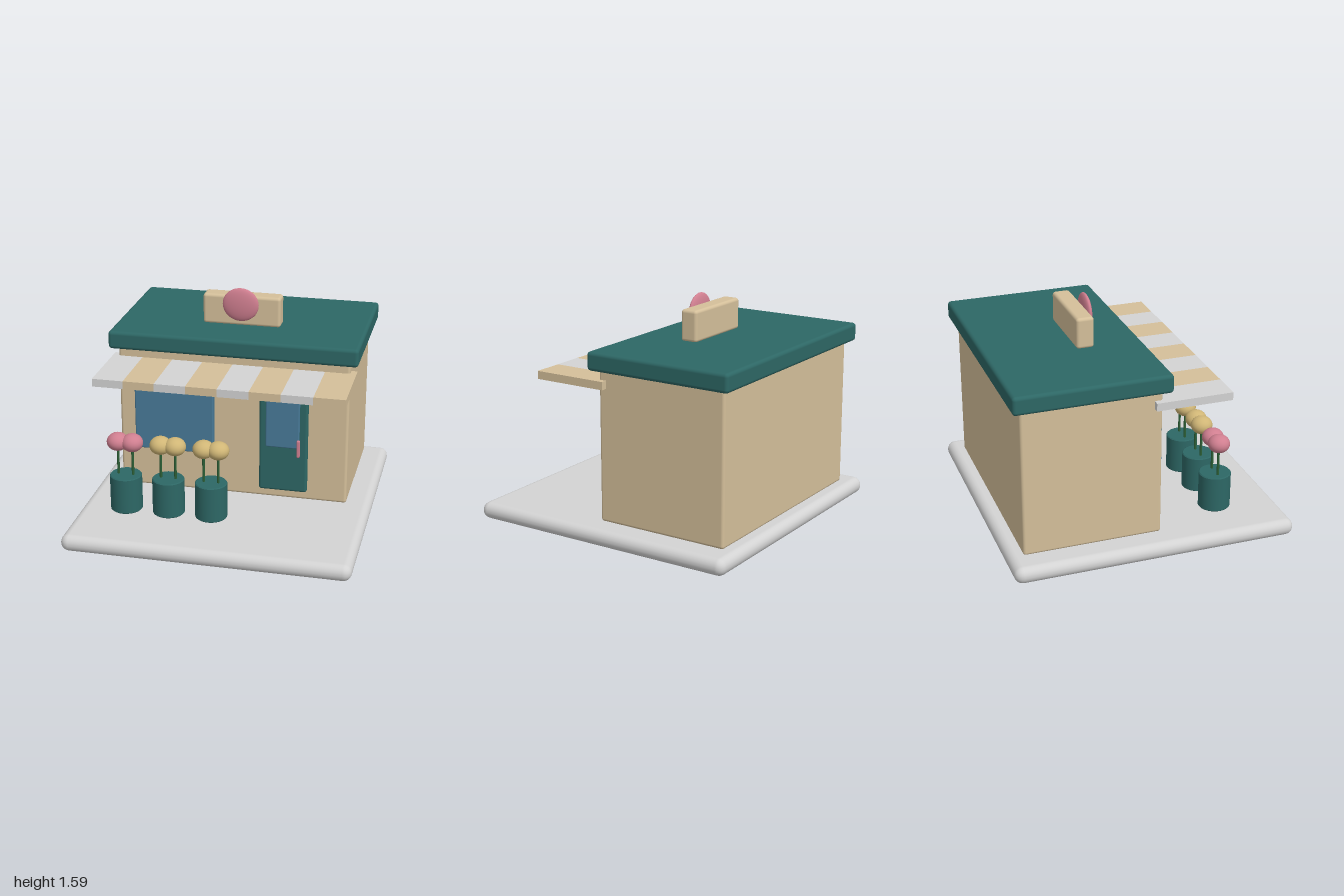
import * as THREE from 'three';
import { RoundedBoxGeometry } from 'three/addons/geometries/RoundedBoxGeometry.js';

const paint = (name, color) => {
  const m = new THREE.MeshStandardMaterial({ color });
  m.name = name;
  return m;
};

export function createModel() {
  const tan = paint('warm tan', 0xd4bf9a);
  const teal = paint('deep teal', 0x2d6765);
  const white = paint('pale grey', 0xd3d3d3);
  const blue = paint('glass blue', 0x487a98);
  const pink = paint('rose pink', 0xd07f90);
  const yellow = paint('straw yellow', 0xd0b676);
  const green = paint('stem green', 0x2c5f36);

  const shop = new THREE.Group();
  shop.name = 'flowerShop';

  const add = (parent, name, geometry, material, x = 0, y = 0, z = 0) => {
    const mesh = new THREE.Mesh(geometry, material);
    mesh.name = name;
    mesh.position.set(x, y, z);
    parent.add(mesh);
    return mesh;
  };

  // Box given by its extents on each axis, with rounded edges
  const block = (parent, name, material, [x0, x1], [y0, y1], [z0, z1], r) =>
    add(parent, name, new RoundedBoxGeometry(x1 - x0, y1 - y0, z1 - z0, 3, r), material,
      (x0 + x1) / 2, (y0 + y1) / 2, (z0 + z1) / 2);

  // Ground slab, walls and roof
  block(shop, 'base', white, [-1, 1], [0, 0.12], [-1, 1], 0.059);
  block(shop, 'walls', tan, [-0.827, 0.827], [0.12, 1.185], [-0.9, 0.07], 0.02);
  block(shop, 'roof', teal, [-0.887, 0.887], [1.175, 1.305], [-0.957, 0.127], 0.025);

  // Roof sign with a flattened round emblem
  block(shop, 'signBoard', tan, [-0.28, 0.28], [1.3, 1.52], [-0.34, -0.215], 0.022);
  add(shop, 'signDisc', new THREE.SphereGeometry(1, 32, 20), pink, 0, 1.465, -0.19)
    .scale.set(0.13, 0.121, 0.032);

  // Striped awning
  const awning = new THREE.Group();
  awning.name = 'awning';
  shop.add(awning);
  const stripes = 8, span = 1.74, width = span / stripes;
  for (let i = 0; i < stripes; i++) {
    add(awning, 'awningStripe', new THREE.BoxGeometry(width, 0.056, 0.537),
      i % 2 ? tan : white, -span / 2 + width * (i + 0.5), 1.083, 0.281);
  }

  // Shop window and door
  block(shop, 'shopWindow', blue, [-0.706, -0.131], [0.43, 0.922], [0.06, 0.115], 0.01);
  const door = new THREE.Group();
  door.name = 'door';
  shop.add(door);
  block(door, 'doorPanel', teal, [0.2, 0.546], [0.19, 1.04], [0.055, 0.108], 0.018);
  block(door, 'doorGlass', blue, [0.25, 0.491], [0.535, 0.97], [0.095, 0.13], 0.01);
  block(door, 'doorHandle', pink, [0.477, 0.5], [0.48, 0.608], [0.13, 0.156], 0.008);

  // Potted blooms: a bevelled pot, two stems and two round flower heads
  const potProfile = [[0, -0.13], [0.106, -0.13], [0.112, -0.124], [0.112, 0.124], [0.106, 0.13], [0, 0.13]]
    .map(([x, y]) => new THREE.Vector2(x, y));
  // Separate bands keep the pot's rims crisp
  const pot = (parent) => {
    for (let i = 0; i < potProfile.length - 1; i++) {
      add(parent, 'pot', new THREE.LatheGeometry([potProfile[i], potProfile[i + 1]], 24), teal, 0, 0.285, 0);
    }
  };
  [[-0.655, pink], [-0.35, yellow], [-0.046, yellow]].forEach(([x, bloom]) => {
    const planter = new THREE.Group();
    planter.name = 'planter';
    planter.position.set(x, 0, 0.532);
    shop.add(planter);
    pot(planter);
    for (const side of [-1, 1]) {
      add(planter, 'stem', new THREE.CylinderGeometry(0.009, 0.009, 0.26, 10), green, side * 0.052, 0.53, 0);
      add(planter, 'flowerHead', new THREE.SphereGeometry(0.076, 24, 16), bloom, side * 0.052, 0.656, 0)
        .scale.y = 0.84;
    }
  });

  return shop;
}
